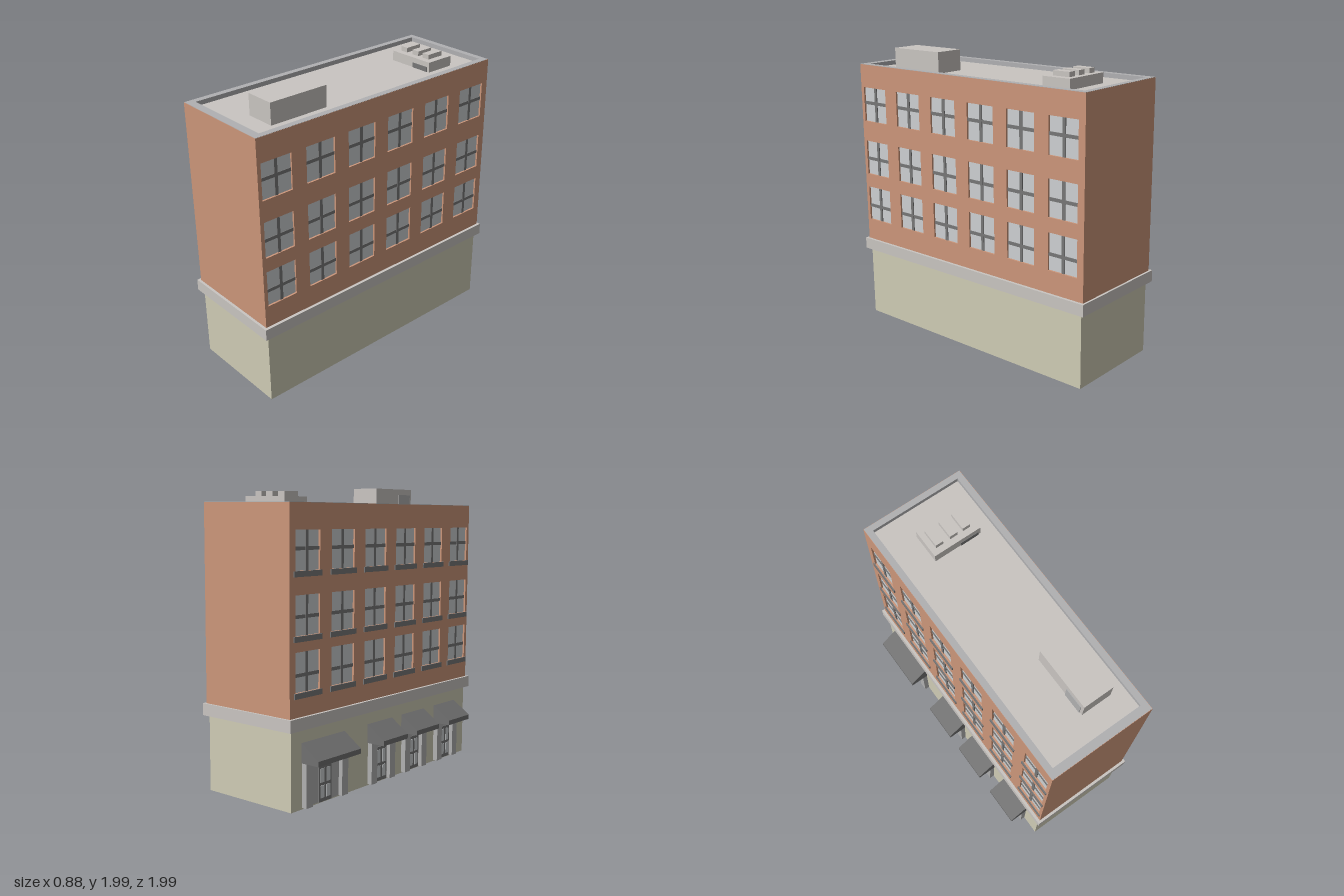
import * as THREE from 'three';

const mat = (color) => new THREE.MeshStandardMaterial({ color, flatShading: true });
const BRICK = mat(0xcc967a), STONE = mat(0xcfccb5), TRIM = mat(0xc9c5c1), RIM = mat(0xb0b0b2);
const BAR = mat(0x777777), GLASS = mat(0xcdd0d2), AWNING = mat(0x707070), POST = mat(0xb0b0b0);

// Box given by its low and high limits on each axis
function box(parent, name, m, x0, x1, y0, y1, z0, z1) {
  const mesh = new THREE.Mesh(new THREE.BoxGeometry(x1 - x0, y1 - y0, z1 - z0), m);
  mesh.position.set((x0 + x1) / 2, (y0 + y1) / 2, (z0 + z1) / 2);
  mesh.name = name;
  parent.add(mesh);
  return mesh;
}

// Rectangle path, used for outlines and holes
function rect(x0, x1, y0, y1, Type = THREE.Path) {
  const p = new Type();
  p.moveTo(x0, y0).lineTo(x1, y0).lineTo(x1, y1).lineTo(x0, y1).closePath();
  return p;
}

const extrude = (shape, depth) => new THREE.ExtrudeGeometry(shape, { depth, bevelEnabled: false });

// Window grid shared by both long walls: bottom, top and crossbar height of each row
const ROWS = [[0.747, 0.994, 0.852], [1.09, 1.335, 1.205], [1.478, 1.72, 1.61]];
const COLS = Array.from({ length: 6 }, (_, i) => 0.835 - i * 0.332);
const HALF = 0.111, RECESS = 0.015;
const Z0 = -0.985, Z1 = 0.972, X0 = -0.31, X1 = 0.42;

function sideWall(parent, side) {
  const g = new THREE.Group();
  g.name = side > 0 ? 'leftWall' : 'rightWall';
  parent.add(g);
  const shape = rect(Z0, Z1, 0.59, 1.88, THREE.Shape);
  for (const [y0, y1] of ROWS)
    for (const z of COLS) shape.holes.push(rect(z - HALF, z + HALF, y0, y1));
  const wall = new THREE.Mesh(extrude(shape, RECESS).rotateY(-Math.PI / 2), BRICK);
  wall.position.x = side > 0 ? X1 : X0 + RECESS;
  wall.name = 'brickWall';
  g.add(wall);

  // Panes and cross bars sit inside the openings
  const inner = side > 0 ? X1 - RECESS : X0 + RECESS;
  const slab = (name, m, t, ...r) =>
    box(g, name, m, Math.min(inner, inner + side * t), Math.max(inner, inner + side * t), ...r);
  for (const [y0, y1, bar] of ROWS)
    for (const z of COLS) {
      slab('windowPane', GLASS, 0.002, y0, y1, z - HALF, z + HALF);
      slab('windowMullion', BAR, 0.008, y0, y1, z - 0.011, z + 0.011);
      slab('windowCrossbar', BAR, 0.007, bar - 0.011, bar + 0.011, z - HALF, z + HALF);
      if (side < 0) box(g, 'windowSill', BAR, X0 - 0.008, X0, y0 - 0.035, y0, z - 0.125, z + 0.125);
    }
}

// Doorway with posts, leaf and sloping canopy on the street side
function shopEntrance(parent, z0, z1) {
  const g = new THREE.Group();
  g.name = 'shopEntrance';
  parent.add(g);
  const canopy = new THREE.Shape([
    [-0.3, 0.437], [-0.44, 0.34], [-0.44, 0.307], [-0.3, 0.307],
  ].map(([x, y]) => new THREE.Vector2(x, y)));
  const awning = new THREE.Mesh(extrude(canopy, z1 - z0), AWNING);
  awning.position.z = z0;
  awning.name = 'awning';
  g.add(awning);

  const a = z0 + 0.004, b = z1 - 0.004, c = (z0 + z1) / 2;
  box(g, 'doorPost', POST, -0.34, -0.3, 0.025, 0.307, a, a + 0.06);
  box(g, 'doorPost', POST, -0.34, -0.3, 0.025, 0.307, b - 0.06, b);
  box(g, 'doorBacking', POST, -0.311, -0.3, 0.025, 0.307, a, b);
  box(g, 'doorLeaf', BAR, -0.318, -0.3, 0.025, 0.26, c - 0.06, c + 0.06);
  for (const s of [-1, 1])
    for (const [y0, y1] of [[0.05, 0.13], [0.15, 0.24]])
      box(g, 'doorPanel', GLASS, -0.321, -0.318, y0, y1, c + s * 0.028 - 0.018, c + s * 0.028 + 0.018);
}

export function createModel() {
  const model = new THREE.Group();
  model.name = 'building';
  // The whole building leans very slightly towards the front
  const b = new THREE.Group();
  b.name = 'leaningBuilding';
  b.rotation.x = 0.0125;
  model.add(b);

  // Ground floor and ledge
  box(b, 'groundFloor', STONE, -0.305, 0.412, 0.016, 0.53, -0.968, 0.957);
  box(b, 'ledge', TRIM, -0.33, 0.44, 0.518, 0.597, -1.0, 0.99);

  // Brick storeys: core, end walls and windowed side walls
  box(b, 'brickCore', BRICK, X0 + RECESS, X1 - RECESS, 0.59, 1.845, Z0 + 0.01, Z1 - 0.01);
  box(b, 'frontWall', BRICK, X0 + RECESS, X1 - RECESS, 0.59, 1.88, Z1 - 0.02, Z1);
  box(b, 'backWall', BRICK, X0 + RECESS, X1 - RECESS, 0.59, 1.88, Z0, Z0 + 0.02);
  sideWall(b, 1);
  sideWall(b, -1);

  // Flat roof inside a low parapet
  box(b, 'roof', TRIM, X0 + 0.02, X1 - 0.02, 1.835, 1.852, Z0 + 0.025, Z1 - 0.025);
  const e = 0.002;
  const frame = rect(X0 + e, X1 - e, Z0 + e, Z1 - e, THREE.Shape);
  frame.holes.push(rect(-0.265, 0.375, -0.942, 0.915));
  const parapet = new THREE.Mesh(extrude(frame, 0.035).rotateX(Math.PI / 2).scale(1, 1, 1), RIM);
  parapet.position.y = 1.882;
  parapet.name = 'parapet';
  b.add(parapet);

  // Stair house with its door
  box(b, 'stairHouse', TRIM, 0.07, 0.28, 1.84, 1.995, 0.335, 0.757);
  box(b, 'stairHouseDoor', POST, 0.064, 0.07, 1.85, 1.955, 0.6, 0.735);

  // Ventilation unit with three caps
  box(b, 'ventBase', TRIM, -0.062, 0.278, 1.84, 1.92, -0.762, -0.555);
  box(b, 'ventHatch', BAR, 0.13, 0.26, 1.852, 1.885, -0.555, -0.551);
  for (const x of [0.003, 0.108, 0.203])
    box(b, 'ventCap', TRIM, x - 0.027, x + 0.027, 1.915, 1.952, -0.722, -0.597);

  for (const [z0, z1] of [[-0.874, -0.464], [-0.224, 0.046], [0.156, 0.426], [0.556, 0.826]])
    shopEntrance(b, z0, z1);
  return model;
}
